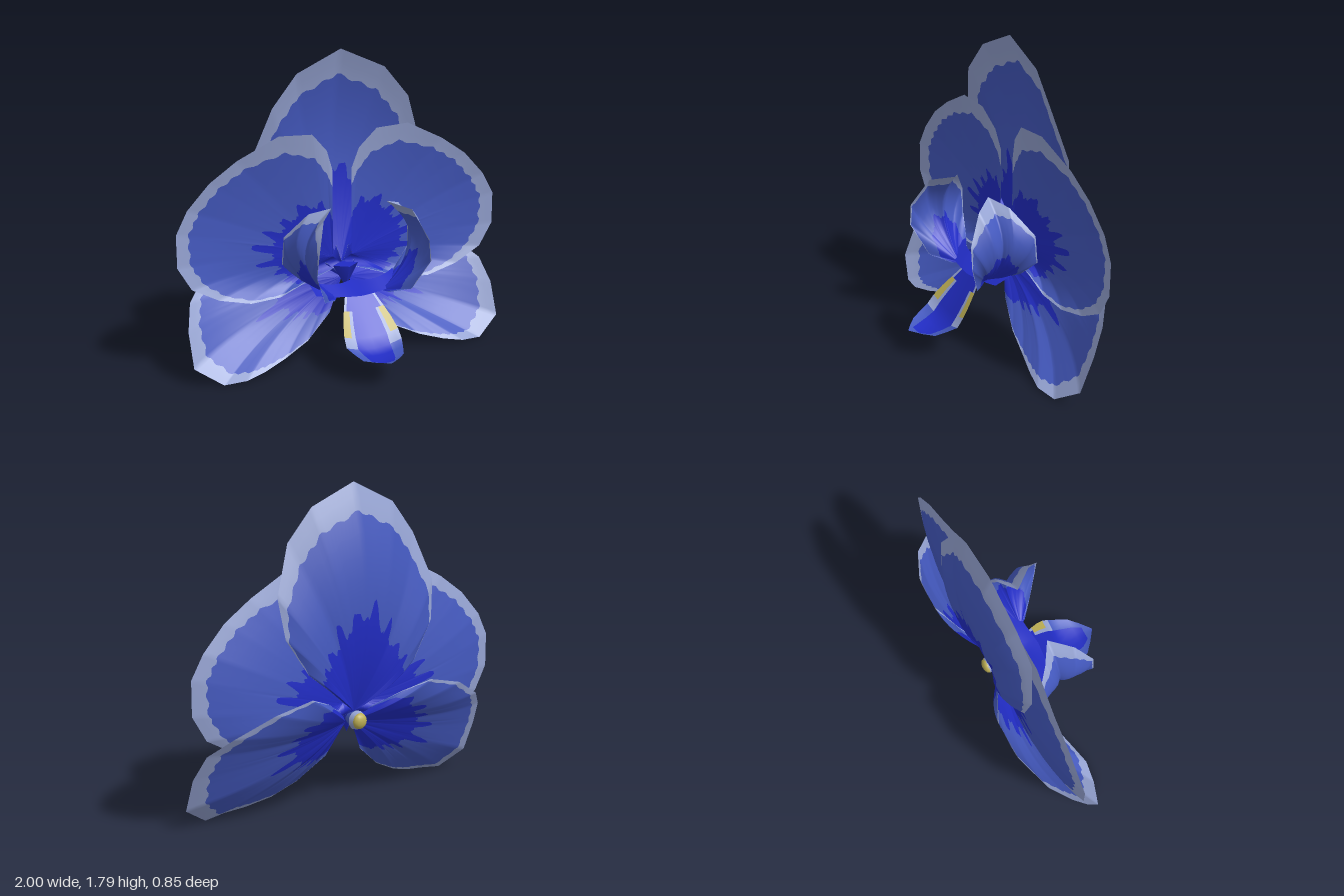
import * as THREE from 'three';

const material = (name, color) => {
  const m = new THREE.MeshStandardMaterial({ color, side: THREE.DoubleSide });
  m.name = name;
  return m;
};

export function createModel() {
  const flower = new THREE.Group();
  flower.name = 'orchid';
  const colours = [
    material('deepBlue', 0x212cc4),
    material('midBlue', 0x4459bf),
    material('paleBlue', 0x95a3d2),
    material('yellow', 0xbcae54),
  ];

  // Smooth grid surface whose cells are sorted into colour zones
  function surface(name, nu, nv, point, zone) {
    const positions = [];
    const cells = [[], [], [], []];
    for (let i = 0; i <= nu; i++)
      for (let j = 0; j <= nv; j++) positions.push(...point(i, j));
    for (let i = 0; i < nu; i++)
      for (let j = 0; j < nv; j++) {
        const a = i * (nv + 1) + j, b = a + nv + 1;
        cells[zone(i, j)].push(a, b, b + 1, a, b + 1, a + 1);
      }
    const geometry = new THREE.BufferGeometry();
    geometry.setAttribute('position', new THREE.Float32BufferAttribute(positions, 3));
    geometry.setIndex(cells.flat());
    let start = 0;
    cells.forEach((c, k) => {
      if (c.length) geometry.addGroup(start, c.length, k);
      start += c.length;
    });
    geometry.computeVertexNormals();
    const mesh = new THREE.Mesh(geometry, colours);
    mesh.name = name;
    flower.add(mesh);
  }

  // Petal fanned out from its base to an outline of [x, y, z, rim start, deep end];
  // the middle rays are bowed by the bulge vector, more narrowly for a higher power
  function petal(name, side, base, outline, bulge, power, fingers, fingerCount) {
    const per = 10, nu = (outline.length - 1) * per;
    const point = (i, j) => {
      const k = Math.min(Math.floor(i / per), outline.length - 2);
      const f = i / per - k, s = i / nu;
      const [x, y, z, rim, deep] = outline[k].map((v, n) => v + (outline[k + 1][n] - v) * f);
      const middle = Math.sin(Math.PI * s);
      const wave = Math.sqrt(Math.max(0, -Math.cos(2 * Math.PI * fingerCount * (s - 0.5))));
      const reach = fingers * (0.75 + 0.25 * Math.sin(i * 0.37));
      const d = Math.min(0.95, deep + reach * middle * wave + 0.01 * Math.sin(i * 1.7));
      const r = Math.min(1, rim + 0.008 * Math.sin(i * 1.3));
      const t = j <= 5 ? (d * j) / 5 : j <= 10 ? d + ((r - d) * (j - 5)) / 5 : r + ((1 - r) * (j - 10)) / 2;
      const bow = 4 * t * (1 - t) * middle ** power;
      const p = [x, y, z].map((v, n) => base[n] + (v - base[n]) * t + bulge[n] * bow);
      p[0] *= side;
      return p;
    };
    surface(name, nu, 12, point, (i, j) => (j < 5 ? 0 : j < 10 ? 1 : 2));
  }

  // Upper sepal, mirrored about its centre line
  const half = [
    [0.05, 0.57, -0.25, 0.99, 0.9], [0.2, 0.68, -0.31, 0.99, 0.9], [0.36, 0.8, -0.335, 0.98, 0.7],
    [0.49, 1.0, -0.315, 0.96, 0.52], [0.52, 1.22, -0.285, 0.91, 0.43], [0.42, 1.49, -0.23, 0.88, 0.4],
    [0.27, 1.67, -0.235, 0.88, 0.4],
  ];
  const mirrored = half.map(([x, ...rest]) => [-x, ...rest]).reverse();
  petal('upperSepal', 1, [0, 0.53, -0.25], [...half, [0, 1.79, -0.24, 0.88, 0.43], ...mirrored],
    [0, 0, -0.115], 1, 0.12, 13);

  for (const side of [1, -1]) {
    const label = side > 0 ? 'left' : 'right';

    // Broad side petal
    petal(label + 'Petal', side, [0.06, 0.58, -0.23], [
      [0.06, 1.1, -0.23, 0.8, 0.42], [0.1, 1.22, -0.215, 0.77, 0.42], [0.2, 1.33, -0.19, 0.8, 0.4],
      [0.4, 1.34, -0.19, 0.86, 0.4], [0.64, 1.22, -0.215, 0.91, 0.38], [0.8, 1.11, -0.22, 0.92, 0.37],
      [0.93, 0.97, -0.225, 0.92, 0.37], [1.0, 0.84, -0.22, 0.92, 0.37], [1.0, 0.65, -0.22, 0.91, 0.37],
      [0.92, 0.51, -0.225, 0.9, 0.38], [0.76, 0.42, -0.23, 0.93, 0.4], [0.57, 0.37, -0.23, 0.95, 0.5],
      [0.39, 0.38, -0.23, 0.94, 0.7], [0.25, 0.44, -0.23, 0.97, 0.85], [0.08, 0.5, -0.23, 0.99, 0.95],
      [0.0, 0.53, -0.23, 0.99, 0.95], [0.04, 0.65, -0.23, 0.99, 0.95],
    ], [0, 0, -0.07], 1, 0.15, 12);

    // Lower sepal, leaning forward at the foot
    petal(label + 'LowerSepal', side, [0.02, 0.46, -0.2], [
      [0.08, 0.53, -0.25, 0.98, 0.9], [0.25, 0.63, -0.36, 0.97, 0.75], [0.4, 0.69, -0.43, 0.95, 0.58],
      [0.62, 0.64, -0.42, 0.94, 0.47], [0.82, 0.53, -0.34, 0.93, 0.42], [0.93, 0.43, -0.24, 0.92, 0.42],
      [0.97, 0.29, -0.16, 0.92, 0.41], [0.97, 0.1, -0.08, 0.9, 0.39], [0.82, 0.0, -0.02, 0.92, 0.38],
      [0.69, 0.01, 0.0, 0.93, 0.4], [0.57, 0.03, -0.03, 0.94, 0.42], [0.43, 0.07, -0.07, 0.96, 0.47],
      [0.28, 0.14, -0.1, 0.98, 0.6], [0.12, 0.27, -0.15, 0.99, 0.85],
    ], [0, 0, -0.11], 1, 0.17, 11);

    // Upright cupped lobe of the lip
    petal(label + 'LipLobe', side, [0.14, 0.42, 0.0], [
      [0.17, 0.415, 0.04, 0.99, 0.7], [0.27, 0.45, 0.13, 0.98, 0.6], [0.35, 0.63, 0.21, 0.97, 0.42],
      [0.335, 0.76, 0.21, 0.95, 0.4], [0.27, 0.92, 0.12, 0.88, 0.4], [0.17, 0.95, 0.0, 0.86, 0.42],
      [0.28, 0.91, -0.07, 0.89, 0.42], [0.39, 0.76, -0.17, 0.95, 0.45], [0.4, 0.6, -0.18, 0.97, 0.55],
      [0.3, 0.5, -0.14, 0.99, 0.7], [0.17, 0.46, -0.07, 0.99, 0.7],
    ], [0.17, 0, 0], 3, 0.08, 6);
  }

  // Floor of the lip, joining the two lobes
  surface('lipFloor', 16, 4, (i, j) => {
    const x = (i / 8 - 1) * 0.27, a = Math.abs(x) / 0.27, v = j / 4;
    const back = -0.12 + 0.05 * Math.sin(Math.PI * a);
    const front = 0.04 - 0.03 * a;
    return [x, 0.465 - 0.045 * v + 0.03 * a * a, back + (front - back) * v];
  }, () => 0);

  // Hanging tongue of the lip: rows of [z, y, half width]
  const rows = [
    [0.0, 0.42, 0.09], [0.06, 0.345, 0.125], [0.11, 0.285, 0.15], [0.16, 0.225, 0.168], [0.2, 0.175, 0.172],
    [0.26, 0.155, 0.15], [0.32, 0.14, 0.125], [0.37, 0.145, 0.07], [0.42, 0.155, 0.004],
  ];
  const across = [-1, -0.86, -0.72, -0.58, -0.25, 0, 0.25, 0.58, 0.72, 0.86, 1];
  surface('lipTongue', rows.length - 1, 10, (i, j) => {
    const [z, y, w] = rows[i];
    const u = across[j];
    return [u * w, y + 0.03 * (u * u - 0.5) * Math.sin((Math.PI * i) / 8), z];
  }, (i, j) => {
    const edge = Math.min(j, 9 - j);
    if (i === 0) return edge < 1 ? 2 : 0;
    if (i <= 2) return edge < 2 ? 3 : edge === 2 ? 2 : 0;
    if (i === 3) return edge < 3 ? 2 : 0;
    return i === 7 || edge < 3 ? 1 : 0;
  });

  // Short column at the heart, with a pale collar and yellow end behind
  const column = new THREE.Group();
  column.name = 'column';
  const ring = (name, front, back, z, length, colour) => {
    const geometry = new THREE.CylinderGeometry(front, back, length, 10).rotateX(Math.PI / 2);
    const mesh = new THREE.Mesh(geometry, colours[colour]);
    mesh.name = name;
    mesh.position.z = z;
    column.add(mesh);
  };
  ring('columnBody', 0.03, 0.055, 0, 0.06, 1);
  ring('columnCollar', 0.055, 0.045, -0.045, 0.03, 2);
  const cap = new THREE.Mesh(new THREE.SphereGeometry(0.045, 12, 8), colours[3]);
  cap.name = 'columnCap';
  cap.scale.z = 0.6;
  cap.position.z = -0.06;
  column.add(cap);
  column.position.set(0, 0.485, -0.245);
  flower.add(column);

  // Pointed foot below the column, hiding it from the front
  const foot = new THREE.Mesh(new THREE.ConeGeometry(0.08, 0.14, 4), colours[0]);
  foot.name = 'columnFoot';
  foot.rotation.x = Math.PI;
  foot.scale.z = 0.7;
  foot.position.set(0, 0.47, -0.185);
  flower.add(foot);

  return flower;
}
